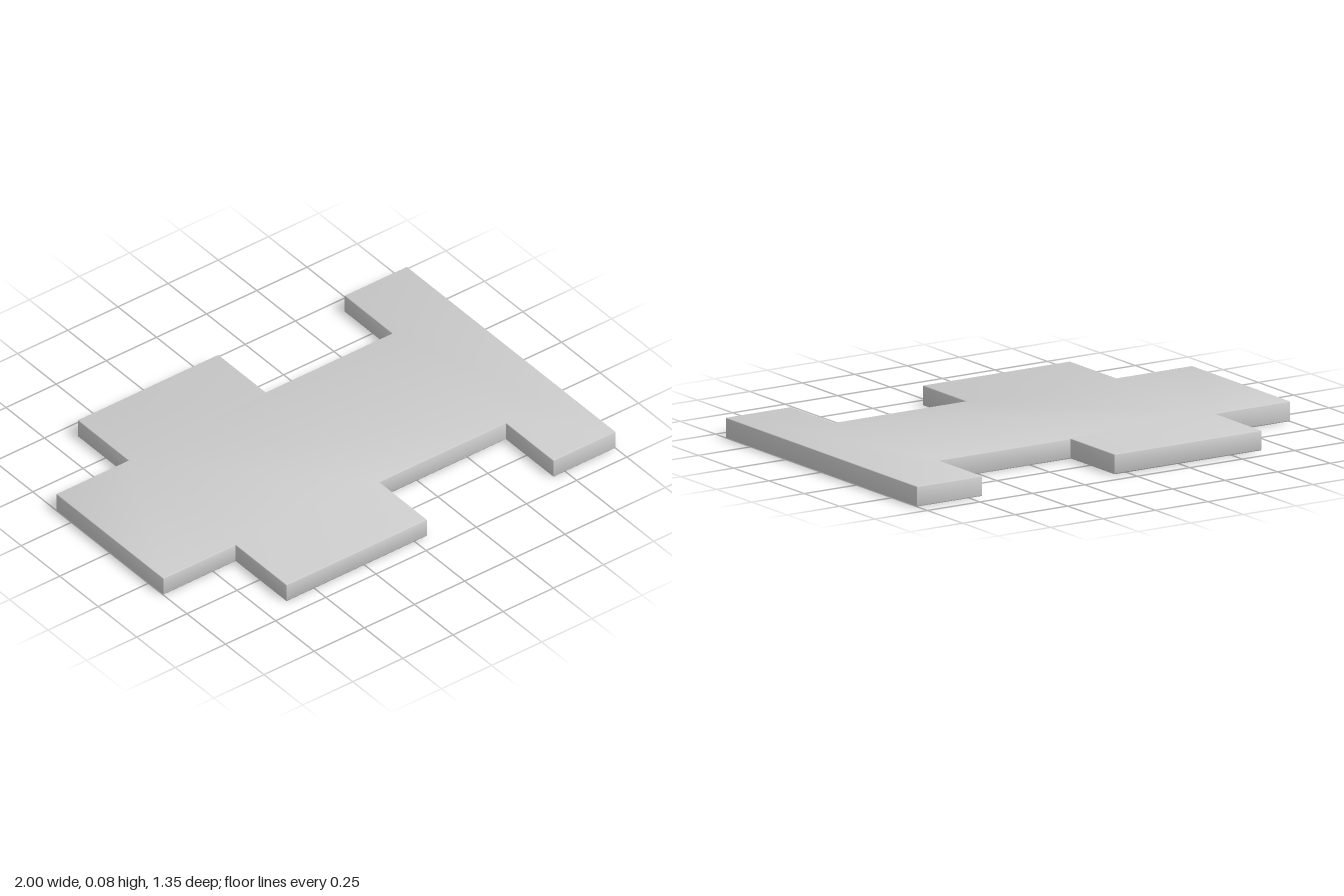
import * as THREE from 'three';
import { toCreasedNormals } from 'three/addons/utils/BufferGeometryUtils.js';

const HEIGHT = 0.083;
const EDGE = 0.004;

// Half outline of the plate: [x, half depth] at each step, left to right
const HALF = [
  [-1, 0.347], [-0.64, 0.347],
  [-0.64, 0.677], [0.06, 0.677],
  [0.06, 0.368], [0.69, 0.368],
  [0.69, 0.677], [1, 0.677],
];

export function createModel() {
  const model = new THREE.Group();
  model.name = 'steppedPlate';

  // Mirror the half outline to close the shape
  const upper = HALF.map(([x, d]) => new THREE.Vector2(x, d));
  const lower = HALF.map(([x, d]) => new THREE.Vector2(x, -d)).reverse();
  const shape = new THREE.Shape([...upper, ...lower]);

  // Flat slab with very slightly eased top and bottom edges
  const slab = new THREE.ExtrudeGeometry(shape, {
    depth: HEIGHT - 2 * EDGE,
    bevelEnabled: true,
    bevelThickness: EDGE,
    bevelSize: EDGE,
    bevelOffset: -EDGE,
    bevelSegments: 2,
  });
  slab.translate(0, 0, EDGE).rotateX(-Math.PI / 2);

  const plate = new THREE.Mesh(
    toCreasedNormals(slab, Math.PI / 3.5),
    new THREE.MeshStandardMaterial({ color: 0xcccccc }),
  );
  plate.name = 'plate';
  model.add(plate);
  return model;
}
